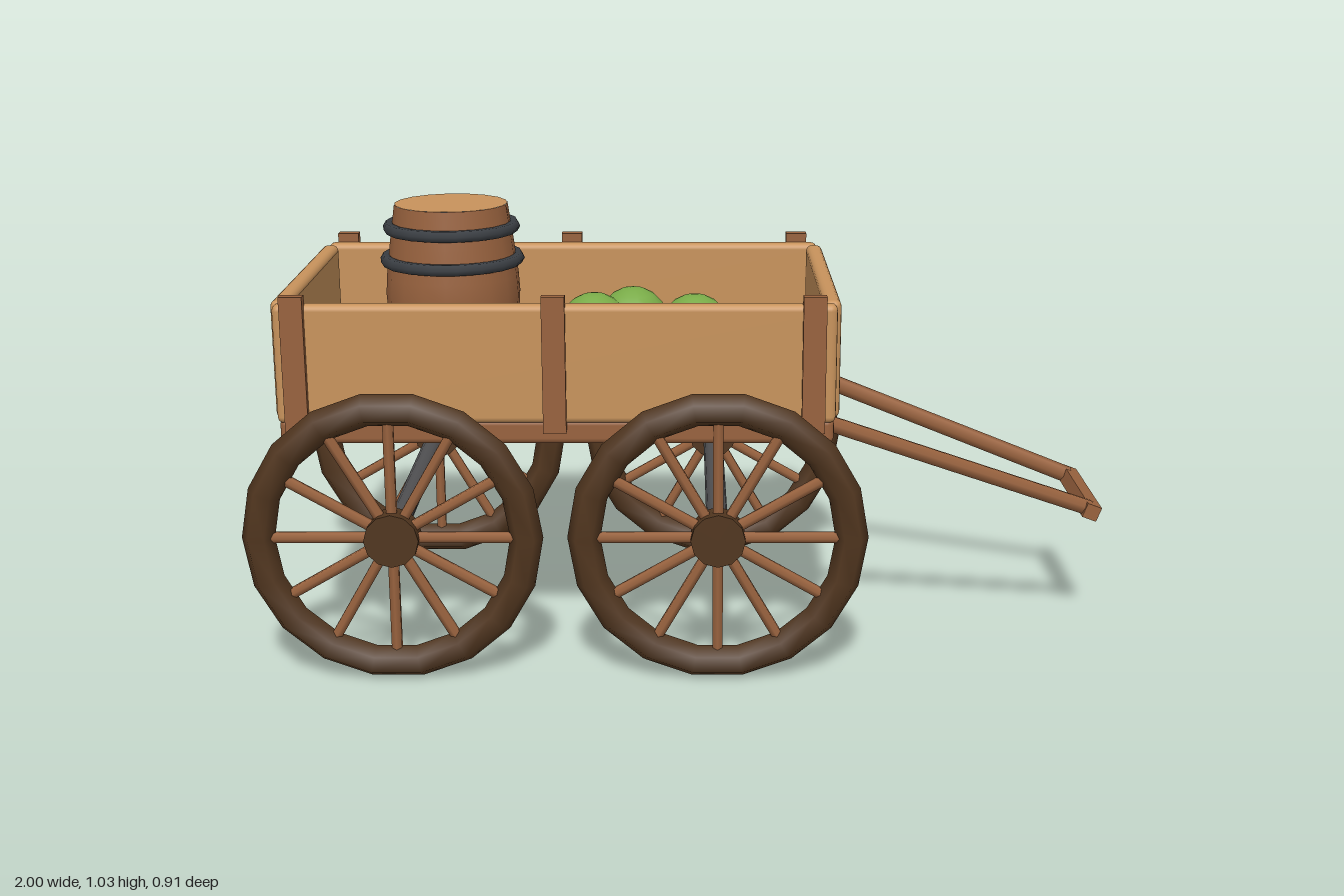
import * as THREE from 'three';
import { RoundedBoxGeometry } from 'three/addons/geometries/RoundedBoxGeometry.js';

const mat = (name, color) => {
  const m = new THREE.MeshStandardMaterial({ color });
  m.name = name;
  return m;
};

export function createModel() {
  const wagon = new THREE.Group();
  wagon.name = 'wagon';
  const plank = mat('light wood', 0xc8935c);
  const timber = mat('brown wood', 0x98623e);
  const dark = mat('dark wood', 0x51361f);
  const iron = mat('iron', 0x3b3f44);
  const steel = mat('axle metal', 0x505052);
  const green = mat('melon green', 0x79ab48);

  const add = (name, geo, material, x = 0, y = 0, z = 0, parent = wagon) => {
    const mesh = new THREE.Mesh(geo, material);
    mesh.name = name;
    mesh.position.set(x, y, z);
    parent.add(mesh);
    return mesh;
  };
  // Round bar between two points
  const bar = (name, a, b, r, sides, material, parent = wagon) => {
    const dir = b.clone().sub(a);
    const mid = a.clone().add(b).multiplyScalar(0.5);
    const mesh = add(name, new THREE.CylinderGeometry(r, r, dir.length(), sides), material, mid.x, mid.y, mid.z, parent);
    mesh.quaternion.setFromUnitVectors(new THREE.Vector3(0, 1, 0), dir.normalize());
    return mesh;
  };
  const V = (x, y, z) => new THREE.Vector3(x, y, z);

  // Wagon bed
  const bedX = -0.288;
  add('floor', new RoundedBoxGeometry(1.25, 0.06, 0.74, 2, 0.015), timber, bedX, 0.571, 0);
  for (const s of [-1, 1]) {
    add('sideBoard', new RoundedBoxGeometry(1.255, 0.273, 0.042, 2, 0.015), plank, bedX, 0.729, s * 0.36);
    add('endBoard', new RoundedBoxGeometry(0.04, 0.273, 0.675, 2, 0.015), plank, bedX + s * 0.619, 0.729, 0);
    for (const x of [-0.868, -0.291, 0.288]) {
      add('sidePost', new THREE.BoxGeometry(0.052, 0.312, 0.028), timber, x, 0.731, s * 0.383);
    }
  }

  // Wheels and axles
  const wheelY = 0.339;
  for (const x of [-0.66, 0.075]) {
    bar('axle', V(x, wheelY, -0.42), V(x, wheelY, 0.42), 0.025, 12, steel);
    for (const s of [-1, 1]) {
      const wheel = new THREE.Group();
      wheel.name = 'wheel';
      wheel.position.set(x, wheelY, s * 0.423);
      wagon.add(wheel);
      add('rim', new THREE.TorusGeometry(0.303, 0.0375, 6, 18), dark, 0, 0, 0, wheel);
      const hub = add('hub', new THREE.CylinderGeometry(0.062, 0.062, 0.06, 12), dark, 0, 0, 0, wheel);
      hub.rotation.x = Math.PI / 2;
      for (let i = 0; i < 12; i++) {
        const a = (i * Math.PI) / 6;
        const c = Math.cos(a), n = Math.sin(a);
        bar('spoke', V(c * 0.04, n * 0.04, 0), V(c * 0.295, n * 0.295, 0), 0.0135, 6, timber, wheel);
      }
    }
  }

  // Pulling shafts with a tilted crossbar
  for (const s of [-1, 1]) {
    bar('shaft', V(0.335, 0.548, s * 0.215), V(0.975, 0.31, s * 0.13), 0.021, 6, timber);
  }
  const cross = add('crossbar', new THREE.BoxGeometry(0.036, 0.036, 0.315), timber, 0.977, 0.307, 0);
  cross.rotation.z = -0.36;

  // Barrel with lid and hoops
  const barrel = new THREE.Group();
  barrel.name = 'barrel';
  barrel.position.set(-0.555, 0.6, 0);
  wagon.add(barrel);
  const profile = [[0.134, 0], [0.147, 0.09], [0.157, 0.17], [0.16, 0.215], [0.157, 0.26], [0.147, 0.34], [0.134, 0.43]];
  add('barrelBody', new THREE.LatheGeometry(profile.map(p => new THREE.Vector2(...p)), 18), timber, 0, 0, 0, barrel);
  const lid = add('barrelLid', new THREE.CircleGeometry(0.134, 18), plank, 0, 0.43, 0, barrel);
  lid.rotation.x = -Math.PI / 2;
  for (const [y, r] of [[0.055, 0.149], [0.13, 0.158], [0.298, 0.158], [0.375, 0.149]]) {
    const hoop = add('barrelHoop', new THREE.TorusGeometry(r, 0.0145, 6, 18), iron, 0, y, 0, barrel);
    hoop.rotation.x = Math.PI / 2;
  }

  // Melons lying on the floor
  const melon = new THREE.SphereGeometry(0.09, 14, 10);
  for (const [x, z] of [[-0.13, -0.215], [-0.225, -0.145], [0.025, -0.13], [-0.163, 0.022], [-0.055, 0.117], [0.003, 0.12]]) {
    add('melon', melon, green, x, 0.69, z);
  }
  return wagon;
}
